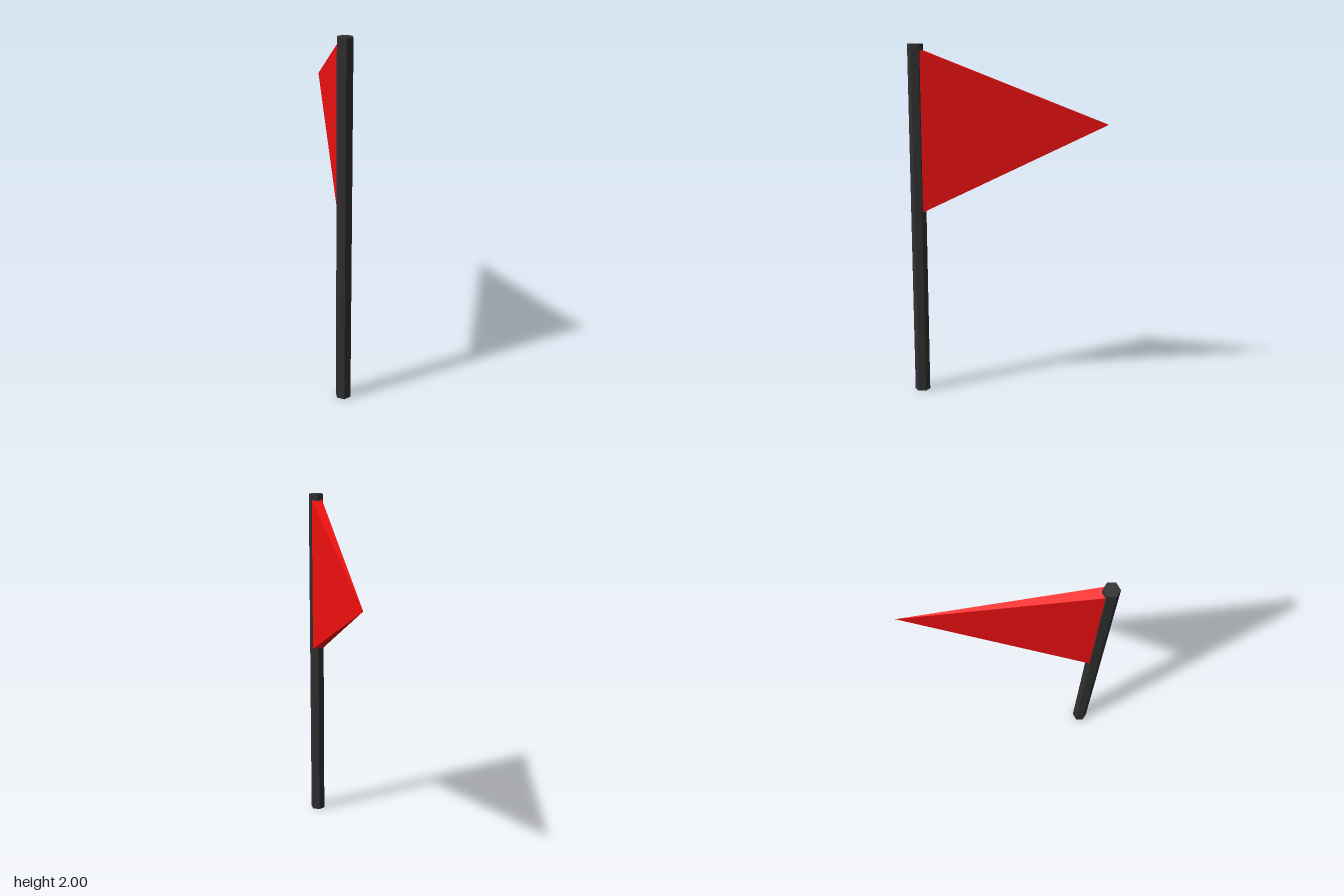
import * as THREE from 'three';

export function createModel() {
  const model = new THREE.Group();
  const add = (name, geometry, color) => {
    const mesh = new THREE.Mesh(geometry, new THREE.MeshStandardMaterial({ color, flatShading: true }));
    mesh.name = name;
    model.add(mesh);
  };

  // Six-sided pole, with edges facing front and back
  const pole = new THREE.CylinderGeometry(0.043, 0.043, 2, 6);
  pole.translate(0, 1, 0.508);
  add('pole', pole, 0x303030);

  // Pennant: four-sided pyramid pointing backwards, thin in x
  const length = 1.035, baseZ = 0.485;
  const pennant = new THREE.ConeGeometry(Math.SQRT1_2, length, 4, 1, false, Math.PI / 4);
  pennant.rotateX(-Math.PI / 2);
  pennant.scale(0.06, 0.9, 1);
  pennant.translate(0, 1.52, baseZ - length / 2);

  // Lift the tip slightly above the middle of the base
  const p = pennant.attributes.position;
  for (let i = 0; i < p.count; i++) {
    p.setY(i, p.getY(i) + 0.04 * (baseZ - p.getZ(i)) / length);
  }
  pennant.computeVertexNormals();
  add('pennant', pennant, 0xf01010);

  return model;
}
